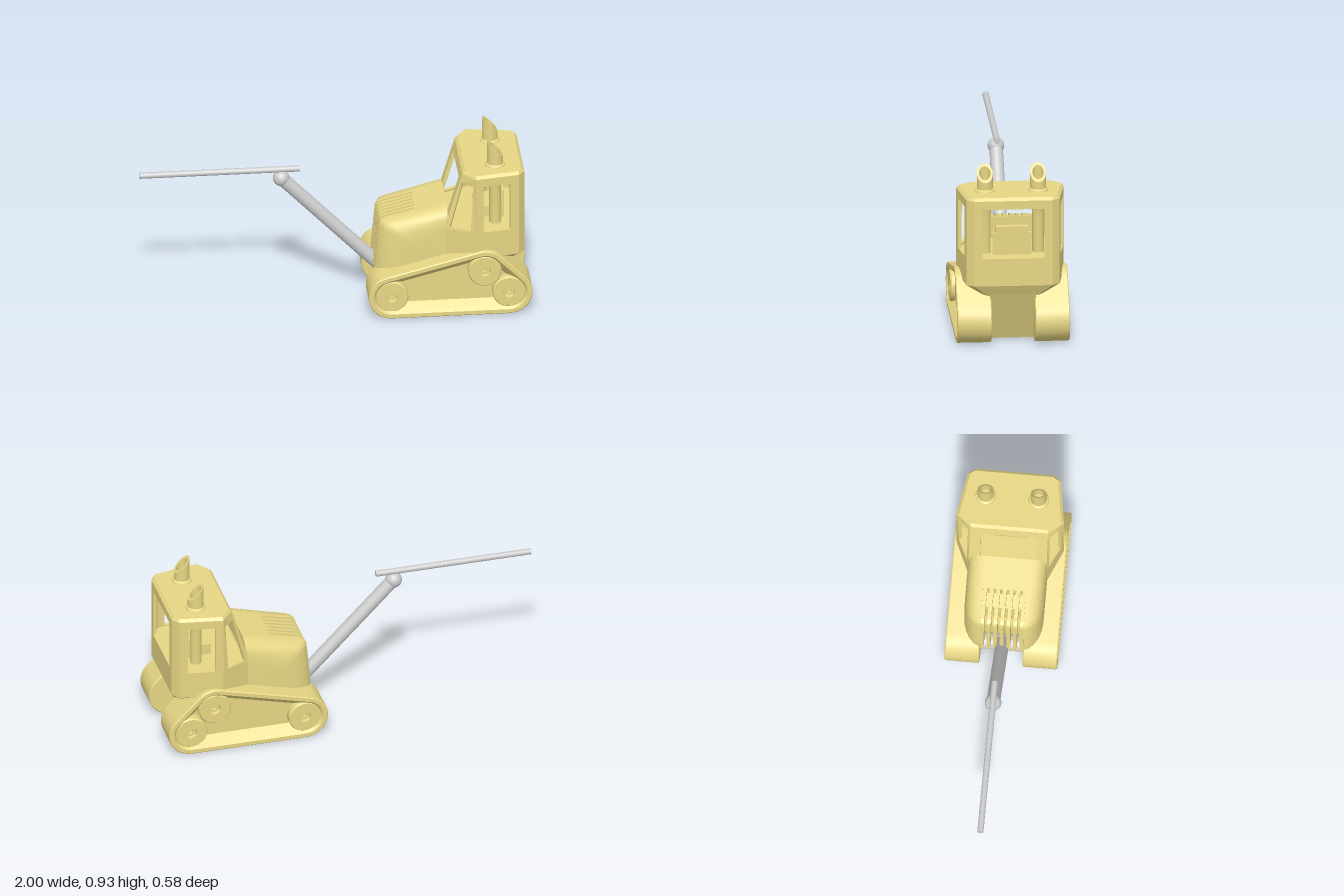
import * as THREE from 'three';
import { toCreasedNormals } from 'three/addons/utils/BufferGeometryUtils.js';

const V = (x, y, z) => new THREE.Vector3(x, y, z);

function fromTriangles(tris, crease = 0.5) {
  const g = new THREE.BufferGeometry();
  g.setAttribute('position', new THREE.Float32BufferAttribute(tris.flatMap(p => [p.x, p.y, p.z]), 3));
  return toCreasedNormals(g, crease);
}

// Closed skin over a row of rings, capped at both ends and turned to face outward
function loft(rings, crease) {
  const tris = [], n = rings[0].length;
  for (let r = 0; r < rings.length - 1; r++) {
    for (let i = 0; i < n; i++) {
      const j = (i + 1) % n, a = rings[r], b = rings[r + 1];
      tris.push(a[i], a[j], b[j], a[i], b[j], b[i]);
    }
  }
  const cap = (ring, flip) => {
    const c = ring.reduce((s, p) => s.add(p), V(0, 0, 0)).divideScalar(n);
    ring.forEach((p, i) => {
      const q = ring[(i + 1) % n];
      tris.push(c, flip ? q : p, flip ? p : q);
    });
  };
  cap(rings[0], true);
  cap(rings[rings.length - 1], false);
  let volume = 0;
  for (let i = 0; i < tris.length; i += 3) volume += tris[i].dot(tris[i + 1].clone().cross(tris[i + 2]));
  return fromTriangles(volume < 0 ? tris.reverse() : tris, crease);
}

// Wall from four corners (counter-clockwise from outside) with a window opening
function windowWall([a, b, c, d], u0, u1, v0, v1, thick = 0.018) {
  const at = (u, v) => a.clone().lerp(b, u).lerp(d.clone().lerp(c, u), v);
  const inward = b.clone().sub(a).cross(d.clone().sub(a)).normalize().multiplyScalar(-thick);
  const outer = [a, b, c, d];
  const hole = [at(u0, v0), at(u1, v0), at(u1, v1), at(u0, v1)];
  const outerIn = outer.map(p => p.clone().add(inward));
  const holeIn = hole.map(p => p.clone().add(inward));
  const tris = [];
  const quad = (p, q, r, s) => tris.push(p, q, r, p, r, s);
  for (let i = 0; i < 4; i++) {
    const j = (i + 1) % 4;
    quad(outer[i], outer[j], hole[j], hole[i]);
    quad(outerIn[j], outerIn[i], holeIn[i], holeIn[j]);
    quad(hole[i], hole[j], holeIn[j], holeIn[i]);
  }
  return fromTriangles(tris, 0.2);
}

// Side profile in x and y, extruded across z
function slab(points, z, width) {
  const shape = new THREE.Shape(points.map(p => new THREE.Vector2(...p)));
  const g = new THREE.ExtrudeGeometry(shape, { depth: width, bevelEnabled: false });
  return g.translate(0, 0, z - width / 2);
}

// Rounded triangle running round the three track wheels
const wheels = [[0.275, 0.12], [0.88, 0.12], [0.755, 0.245]];
function trackRing(r, z) {
  const points = [];
  const heading = i => {
    const p = wheels[i % 3], q = wheels[(i + 1) % 3];
    return Math.atan2(q[1] - p[1], q[0] - p[0]) - Math.PI / 2;
  };
  wheels.forEach(([x, y], i) => {
    const start = heading(i + 2);
    let sweep = heading(i) - start;
    while (sweep < 0) sweep += Math.PI * 2;
    for (let k = 0; k <= 14; k++) {
      const t = start + sweep * k / 14;
      points.push(V(x + r * Math.cos(t), y + r * Math.sin(t), z));
    }
  });
  return points;
}

// Eight-sided cab outline
function cabRing(y, frontX, inset = 0, zScale = 1, rearX = 0.965) {
  const half = [[frontX + inset, 0.2], [0.71, 0.277 - inset], [rearX - 0.03, 0.24 - inset], [rearX - inset, 0.2]];
  return [...half.map(([x, z]) => V(x, y, z * zScale)),
    ...half.reverse().map(([x, z]) => V(x, y, -z * zScale))];
}

export function createModel() {
  const model = new THREE.Group();
  const yellow = new THREE.MeshStandardMaterial({ color: 0xe6d684, side: THREE.DoubleSide });
  const grey = new THREE.MeshStandardMaterial({ color: 0xcccccc });
  const add = (name, geometry, material = yellow) => {
    const mesh = new THREE.Mesh(geometry, material);
    mesh.name = name;
    model.add(mesh);
    return mesh;
  };
  const rod = (name, a, b, r) => {
    const mesh = add(name, new THREE.CylinderGeometry(r, r, a.distanceTo(b), 28), grey);
    mesh.position.copy(a).lerp(b, 0.5);
    mesh.quaternion.setFromUnitVectors(V(0, 1, 0), b.clone().sub(a).normalize());
  };

  // Chassis between the tracks, sloping up at the rear
  add('chassis', slab([[0.31, 0], [0.825, 0], [0.94, 0.27], [0.94, 0.3], [0.33, 0.3], [0.31, 0.25]], 0, 0.236));

  // Tracks with dished sides and hubbed wheels
  for (const s of [1, -1]) {
    const side = s > 0 ? 'left' : 'right';
    const section = [[0.115, 0.112], [0.12, 0.117], [0.12, 0.285], [0.115, 0.29], [0.095, 0.29], [0.09, 0.285], [0.05, 0.235]];
    add(side + 'Track', loft(section.map(([r, z]) => trackRing(r, s * z)), 0.45));
    for (const [x, y] of wheels) {
      const profile = [[0, 0.2], [0.086, 0.2], [0.086, 0.272], [0.08, 0.28], [0.03, 0.28], [0.026, 0.262], [0.013, 0.262], [0.011, 0.25], [0, 0.25]];
      const g = new THREE.LatheGeometry(profile.map(p => new THREE.Vector2(...p)), 32);
      g.rotateX(s * Math.PI / 2).translate(x, y, 0);
      add(side + 'Wheel', toCreasedNormals(g, 0.4));
    }
  }

  // Hood: middle block, rounded cheeks and open grille bars
  add('hoodMiddle', slab([[0.57, 0.2], [0.34, 0.2], [0.34, 0.44], [0.41, 0.46], [0.41, 0.53], [0.57, 0.57]], 0, 0.24));
  for (const s of [1, -1]) {
    const rings = [[0.112, 0.2, 0], [0.145, 0.212, 0.003], [0.17, 0.235, 0.013], [0.188, 0.265, 0.03], [0.198, 0.295, 0.055], [0.204, 0.33, 0.09]]
      .map(([z, f, d]) => [[0.57, 0.2], [f, 0.2], [f + 0.024, 0.46 - d], [f + 0.032, 0.48 - d], [f + 0.055, 0.492 - d], [0.57, 0.57 - d]]
        .map(([x, y]) => V(x, y, s * z)));
    add('hoodCheek', loft(rings, 0.7));
  }
  for (let i = -3; i <= 3; i++) {
    add('grilleBar', slab([[0.2, 0.2], [0.225, 0.46], [0.233, 0.48], [0.255, 0.492], [0.415, 0.531],
      [0.415, 0.47], [0.28, 0.445], [0.255, 0.2]], i * 0.034, 0.019));
  }

  // Cab body and floor
  add('cabBase', loft([cabRing(0.26, 0.55, 0, 0.65, 0.935), cabRing(0.32, 0.55), cabRing(0.46, 0.55)], 0.2));

  // Cab walls with windows
  const low = cabRing(0.46, 0.55), high = cabRing(0.775, 0.645);
  const wall = (name, i, j, ...opening) =>
    add(name, windowWall([low[i], low[j], high[j], high[i]], ...opening));
  wall('frontWall', 7, 0, 0.14, 0.86, 0.05, 0.86);
  wall('leftFrontWall', 0, 1, 0.16, 0.82, 0.04, 0.86);
  wall('rightFrontWall', 6, 7, 0.18, 0.84, 0.04, 0.86);
  wall('leftWall', 1, 2, 0.18, 0.8, 0.02, 0.86);
  wall('rightWall', 5, 6, 0.2, 0.82, 0.02, 0.86);
  wall('rearWall', 3, 4, 0.1, 0.9, 0.02, 0.86);
  wall('leftRearPost', 2, 3, 0.5, 0.5, 0.5, 0.5);
  wall('rightRearPost', 4, 5, 0.5, 0.5, 0.5, 0.5);

  // Roof with chamfered rim
  add('roof', loft([cabRing(0.772, 0.645), cabRing(0.776, 0.645), cabRing(0.79, 0.645, 0.015)], 0.2));

  // Seat
  const box = (name, w, h, d, x, y) => add(name, new THREE.BoxGeometry(w, h, d).translate(x, y, 0));
  box('seatCushion', 0.13, 0.06, 0.17, 0.79, 0.49);
  box('seatBack', 0.035, 0.15, 0.17, 0.855, 0.535);
  box('seatRest', 0.025, 0.115, 0.2, 0.85, 0.517);

  // Exhaust stacks: flared pipe inside the cab, slanted open mouth above the roof
  for (const s of [1, -1]) {
    const lathe = (name, profile, rule) => {
      const g = new THREE.LatheGeometry(profile.map(p => new THREE.Vector2(...p)), 32);
      g.translate(0.82, 0, s * 0.137);
      if (rule) rule(g.attributes.position);
      add(name, toCreasedNormals(g, 0.5));
    };
    lathe('innerPipe', [[0.03, 0.46], [0.03, 0.66], [0.034, 0.7], [0.043, 0.735], [0.06, 0.772]]);
    lathe('exhaustStack', [[0.053, 0.788], [0.05, 0.797], [0.041, 0.803], [0.041, 0.88], [0.029, 0.88], [0.029, 0.795], [0, 0.795]], p => {
      for (let i = 0; i < p.count; i++) {
        if (p.getY(i) > 0.85) p.setY(i, 0.884 - (p.getX(i) - 0.82));
      }
    });
  }

  // Arm on a cross axle, ball joint and long rod
  rod('armAxle', V(0.275, 0.12, -0.115), V(0.275, 0.12, 0.115), 0.045);
  rod('arm', V(0.275, 0.13, 0), V(-0.27, 0.695, 0), 0.035);
  add('ballJoint', new THREE.SphereGeometry(0.043, 28, 18).translate(-0.27, 0.695, 0), grey);
  rod('longRod', V(-1, 0.745, 0), V(-0.175, 0.745, 0), 0.016);

  return model;
}
